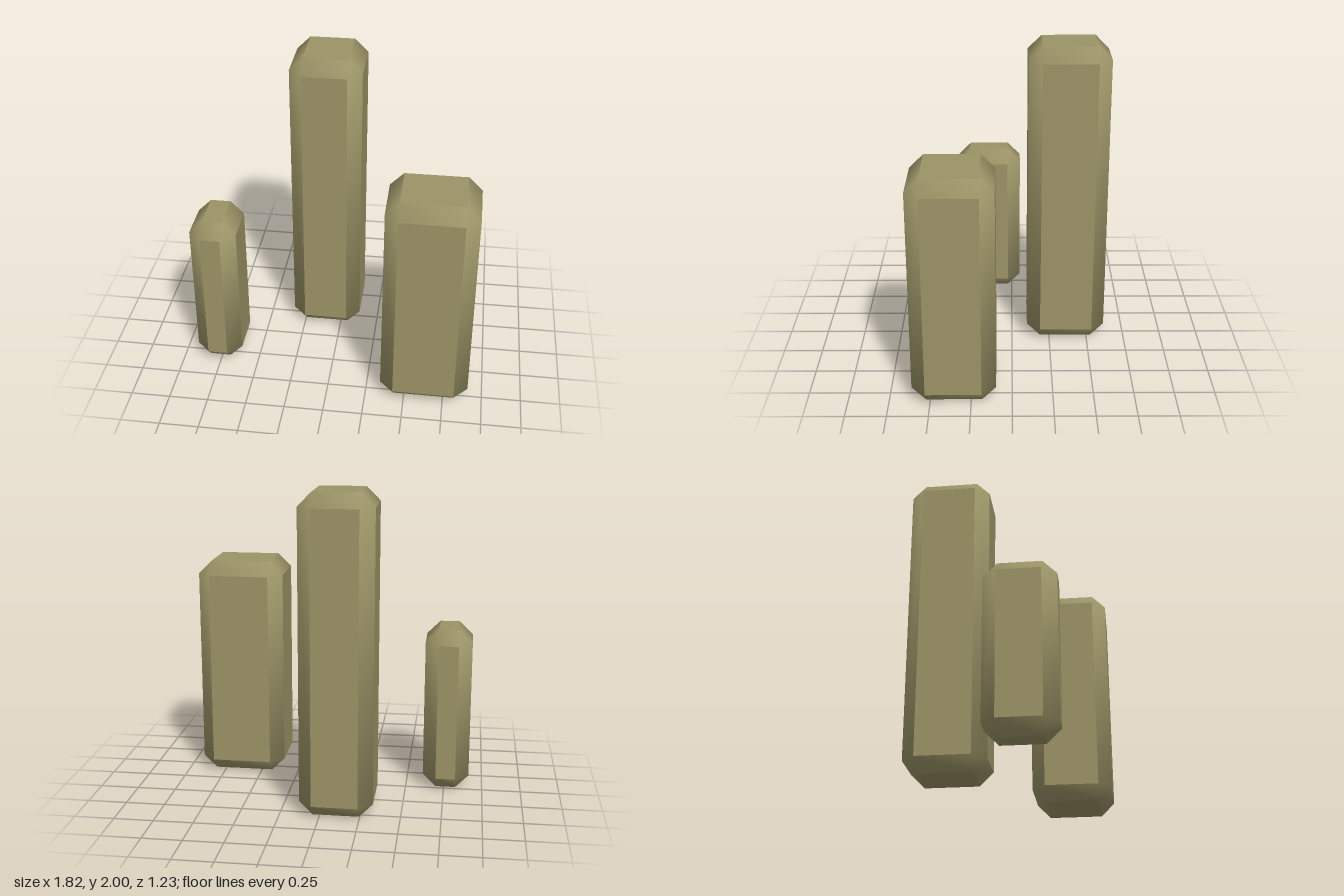
import * as THREE from 'three';

const CHAMFER = 0.086;

// Box with flat sides and softly shaded 45 degree chamfers and corners.
function chamferedBox(w, h, d) {
  const half = [w / 2, h / 2, d / 2];
  const positions = [], normals = [];

  // Corner of the flat panel facing the given axis, in the octant s.
  const point = (axis, s) => s.map((v, i) => v * (half[i] - (i === axis ? 0 : CHAMFER)));
  const softNormal = (axis, s) =>
    new THREE.Vector3(...s.map((v, i) => v * (i === axis ? 1.65 : 1))).normalize().toArray();

  // Adds a triangle, turned so that it faces outward.
  function triangle(a, b, c) {
    const [p, q, r] = [a, b, c].map((v) => new THREE.Vector3(...v.p));
    const n = q.clone().sub(p).cross(r.clone().sub(p));
    const order = n.dot(p) > 0 ? [a, b, c] : [a, c, b];
    for (const v of order) {
      positions.push(...v.p);
      normals.push(...v.n);
    }
  }
  function quad(a, b, c, e) {
    triangle(a, b, c);
    triangle(a, c, e);
  }
  const soft = (axis, s) => ({ p: point(axis, s), n: softNormal(axis, s) });
  const signs = [-1, 1];

  for (let i = 0; i < 3; i++) {
    const j = (i + 1) % 3, k = (i + 2) % 3;
    const octant = (a, b, c) => {
      const s = [0, 0, 0];
      s[i] = a; s[j] = b; s[k] = c;
      return s;
    };
    for (const a of signs) {
      // Flat panel
      const flat = (b, c) => ({ p: point(i, octant(a, b, c)), n: octant(a, 0, 0) });
      quad(flat(-1, -1), flat(1, -1), flat(1, 1), flat(-1, 1));
      // Chamfers joining this panel to the next axis
      for (const b of signs) {
        const lo = octant(a, b, -1), hi = octant(a, b, 1);
        quad(soft(i, lo), soft(j, lo), soft(j, hi), soft(i, hi));
      }
    }
  }
  // Corner triangles
  for (const x of signs) for (const y of signs) for (const z of signs) {
    const s = [x, y, z];
    triangle(soft(0, s), soft(1, s), soft(2, s));
  }

  const geometry = new THREE.BufferGeometry();
  geometry.setAttribute('position', new THREE.Float32BufferAttribute(positions, 3));
  geometry.setAttribute('normal', new THREE.Float32BufferAttribute(normals, 3));
  return geometry;
}

export function createModel() {
  const model = new THREE.Group();
  model.name = 'pillars';
  const stone = new THREE.MeshStandardMaterial({ color: 0x9c9467 });
  stone.name = 'olive stone';

  // Three standing pillars: x, z, width, height, depth
  const pillars = {
    tallPillar: [-0.1, -0.358, 0.46, 2.0, 0.514],
    mediumPillar: [0.625, 0.356, 0.562, 1.452, 0.514],
    smallPillar: [-0.761, 0.159, 0.3, 1.066, 0.434],
  };
  for (const [name, [x, z, w, h, d]] of Object.entries(pillars)) {
    const mesh = new THREE.Mesh(chamferedBox(w, h, d), stone);
    mesh.name = name;
    mesh.position.set(x, h / 2, z);
    model.add(mesh);
  }
  return model;
}
